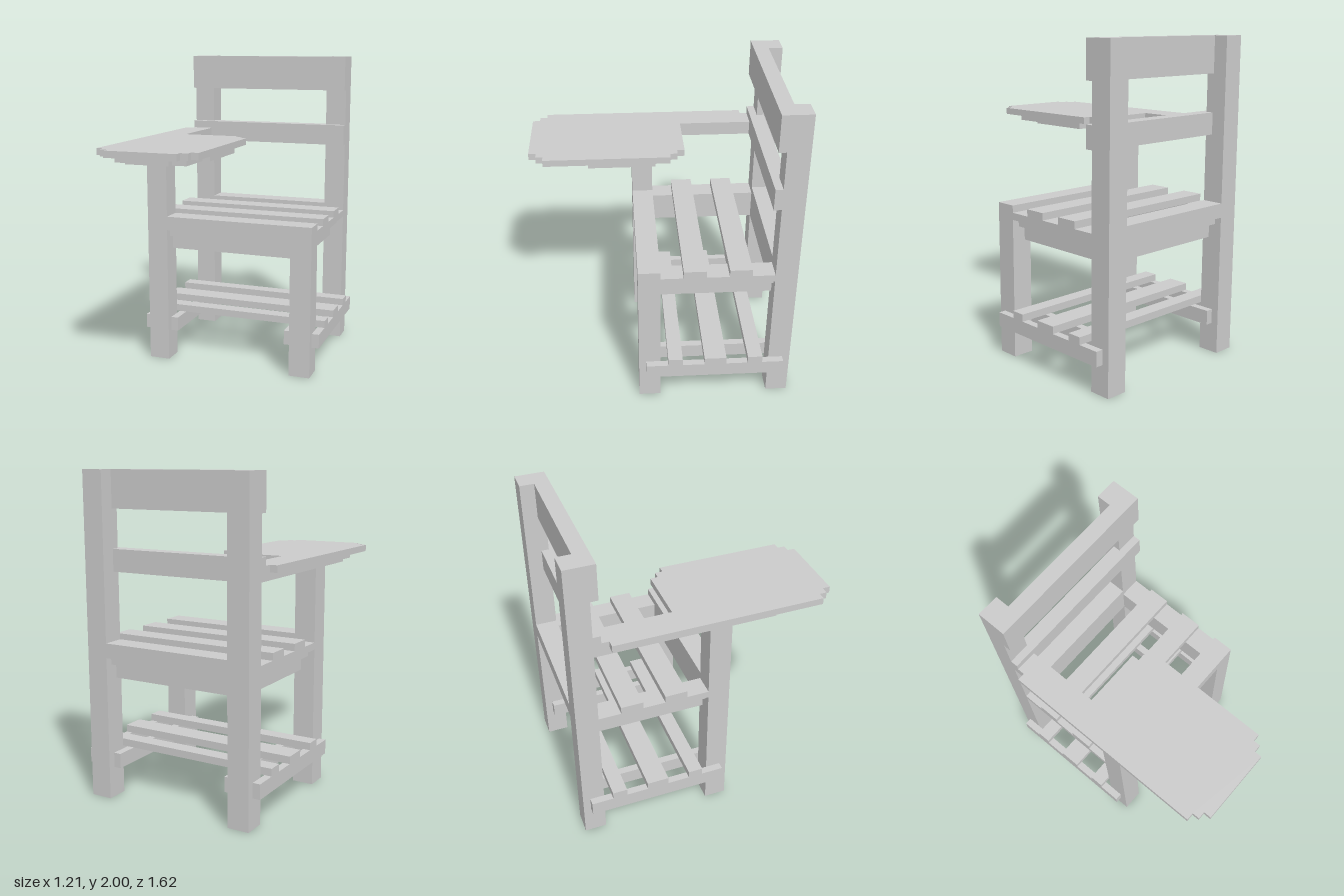
import * as THREE from 'three';

export function createModel() {
  const chair = new THREE.Group();
  chair.name = 'tabletArmChair';
  const material = new THREE.MeshStandardMaterial({ color: 0xcccccc, flatShading: true });

  // Box given by its low and high limits on each axis
  function board(name, [x0, x1], [y0, y1], [z0, z1]) {
    const mesh = new THREE.Mesh(new THREE.BoxGeometry(x1 - x0, y1 - y0, z1 - z0), material);
    mesh.position.set((x0 + x1) / 2, (y0 + y1) / 2, (z0 + z1) / 2);
    mesh.name = name;
    chair.add(mesh);
  }

  // Flat slab cut from an outline of [x, z] corners
  function slab(name, outline, y0, y1) {
    const shape = new THREE.Shape(outline.map(([x, z]) => new THREE.Vector2(x, -z)));
    const geometry = new THREE.ExtrudeGeometry(shape, { depth: y1 - y0, bevelEnabled: false });
    geometry.rotateX(-Math.PI / 2);
    const mesh = new THREE.Mesh(geometry, material);
    mesh.position.y = y0;
    mesh.name = name;
    chair.add(mesh);
  }

  const mirrored = (side, a, b) => (side > 0 ? [a, b] : [-b, -a]);
  const IN = 0.42, OUT = 0.557;          // inner and outer faces of the legs
  const FRONT = [0.022, 0.16], BACK = [-0.812, -0.675];
  const SPAN = [-0.675, 0.022];          // gap between front and back legs

  for (const side of [1, -1]) {
    const label = side > 0 ? 'left' : 'right';
    // Legs: the right front one rises to carry the writing arm
    board(label + 'BackLeg', mirrored(side, IN, OUT), [0, 2], BACK);
    board(label + 'FrontLeg', mirrored(side, IN, OUT), [0, side > 0 ? 0.89 : 1.4], FRONT);
    // Seat side rail above two narrower, stepped supports
    board(label + 'SeatRail', mirrored(side, IN, OUT), [0.89, 0.935], SPAN);
    board(label + 'SeatSupport', mirrored(side, IN, 0.512), [0.842, 0.89], SPAN);
    board(label + 'SeatApron', mirrored(side, IN, 0.466), [0.75, 0.842], SPAN);
    // Pair of stretchers clamping the legs
    board(label + 'InnerStretcher', mirrored(side, 0.372, IN), [0.19, 0.282], [-0.765, 0.115]);
    board(label + 'OuterStretcher', mirrored(side, OUT, 0.604), [0.19, 0.282], [-0.765, 0.115]);
  }

  // Front and back seat rails with their stepped supports
  board('frontSeatRail', [-IN, OUT], [0.89, 0.98], FRONT);
  board('frontSeatSupport', [-IN, IN], [0.842, 0.89], [0.022, 0.115]);
  board('frontSeatApron', [-IN, IN], [0.75, 0.842], [0.022, 0.068]);
  board('backSeatRail', [-IN, IN], [0.89, 0.98], BACK);
  board('backSeatSupport', [-IN, IN], [0.842, 0.89], [-0.767, -0.675]);
  board('backSeatApron', [-IN, IN], [0.75, 0.842], [-0.721, -0.675]);

  // Seat slats
  for (const z of [[-0.257, -0.117], [-0.535, -0.397]]) {
    board('seatSlat', [-OUT, OUT], [0.935, 0.98], z);
  }
  // Book shelf slats
  for (const z of [[-0.117, -0.025], [-0.397, -0.257], [-0.628, -0.535]]) {
    board('shelfSlat', [-0.604, 0.604], [0.282, 0.328], z);
  }

  // Backrest boards let into the back legs
  board('topBackRail', [-OUT, OUT], [1.773, 2], [-0.722, -0.628]);
  board('middleBackRail', [-OUT, OUT], [1.4, 1.536], [-0.722, -0.628]);

  // Writing arm: beam, stepped under-board and tablet
  board('armBeam', [-OUT, -IN], [1.4, 1.445], [-0.628, 0.16]);
  slab('tabletUnderBoard', [
    [-OUT, 0.022], [-OUT, 0.443], [-0.511, 0.443], [-0.511, 0.674], [-IN, 0.674], [-IN, 0.72],
    [-0.14, 0.72], [-0.14, 0.674], [-0.048, 0.674], [-0.048, 0.443], [0, 0.443], [0, 0.022],
  ], 1.4, 1.445);
  slab('writingTablet', [
    [-0.604, -0.582], [-0.604, 0.72], [-OUT, 0.72], [-OUT, 0.765], [-0.511, 0.765], [-0.511, 0.812],
    [-0.048, 0.812], [-0.048, 0.765], [0, 0.765], [0, 0.72], [0.046, 0.72], [0.046, -0.07],
    [0, -0.07], [0, -0.117], [-0.048, -0.117], [-0.048, -0.164], [-IN, -0.164], [-IN, -0.628],
    [-OUT, -0.628], [-OUT, -0.582],
  ], 1.445, 1.487);

  return chair;
}
